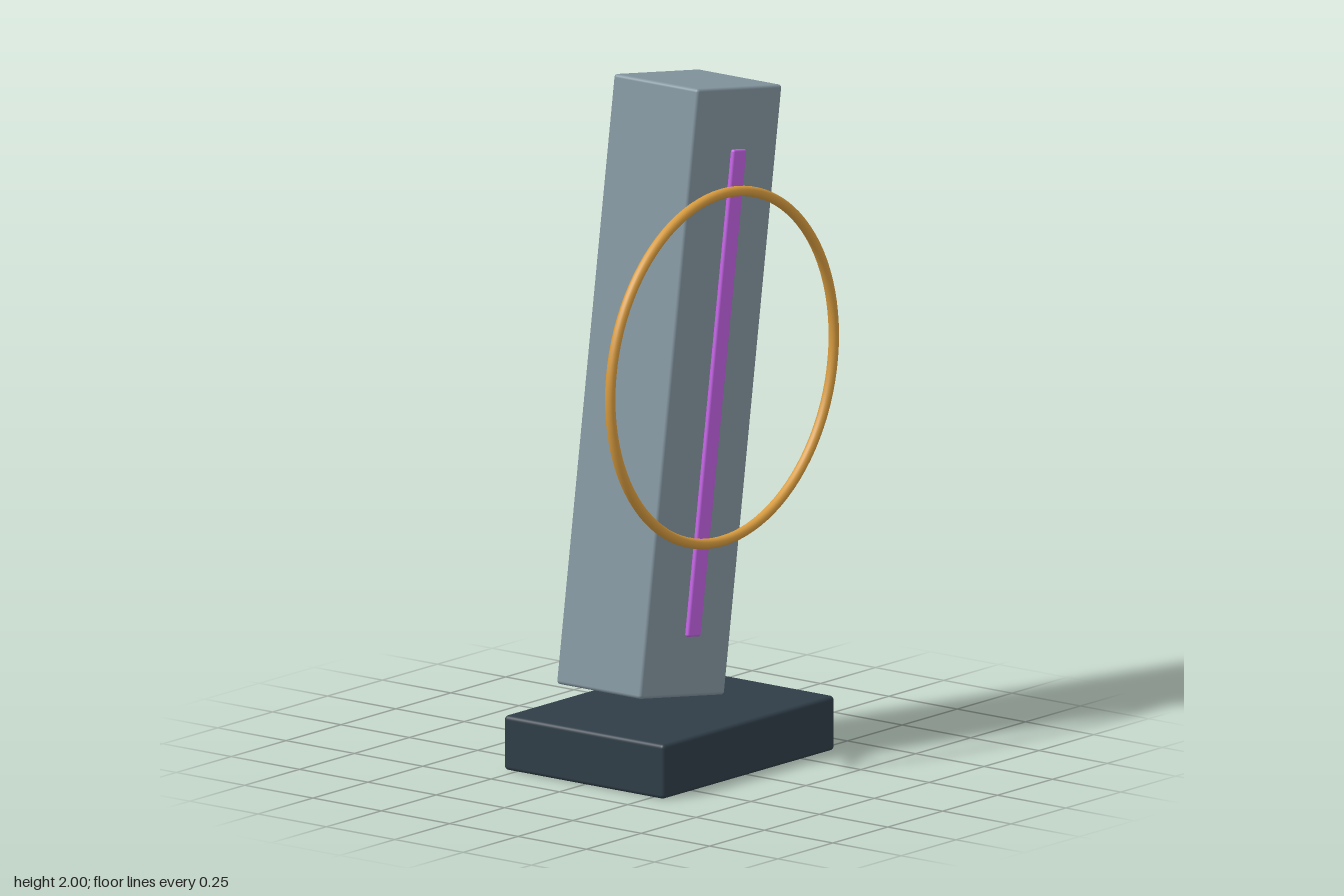
import * as THREE from 'three';
import { RoundedBoxGeometry } from 'three/addons/geometries/RoundedBoxGeometry.js';

const TILT = -0.15; // lean of the pillar towards +x

function addPart(parent, name, geometry, color, x, y, z) {
  const mesh = new THREE.Mesh(geometry, new THREE.MeshStandardMaterial({ color }));
  mesh.name = name;
  mesh.position.set(x, y, z);
  parent.add(mesh);
  return mesh;
}

export function createModel() {
  const model = new THREE.Group();
  model.name = 'leaningMonolith';

  // Flat plinth on the ground
  addPart(model, 'base', new RoundedBoxGeometry(0.782, 0.156, 0.586, 4, 0.012), 0x2f3d47, 0, 0.08, 0).position.y = 0.08;
  model.children[0].scale.y = 0.16 / 0.156;

  // Leaning pillar with its inlaid strip, floating above the base
  const leaning = new THREE.Group();
  leaning.name = 'leaningPillar';
  leaning.position.y = 1.102;
  leaning.rotation.z = TILT;
  model.add(leaning);
  addPart(leaning, 'pillar', new RoundedBoxGeometry(0.39, 1.76, 0.31, 4, 0.01), 0x82949e, 0, 0, 0);
  addPart(leaning, 'strip', new RoundedBoxGeometry(0.06, 1.406, 0.016, 3, 0.007), 0xc060e0, 0, 0, 0.17);

  // Thin upright ring in front of the pillar
  addPart(model, 'ring', new THREE.TorusGeometry(0.509, 0.015, 16, 96), 0xd79b3f, 0, 1.18, 0.193);

  return model;
}
